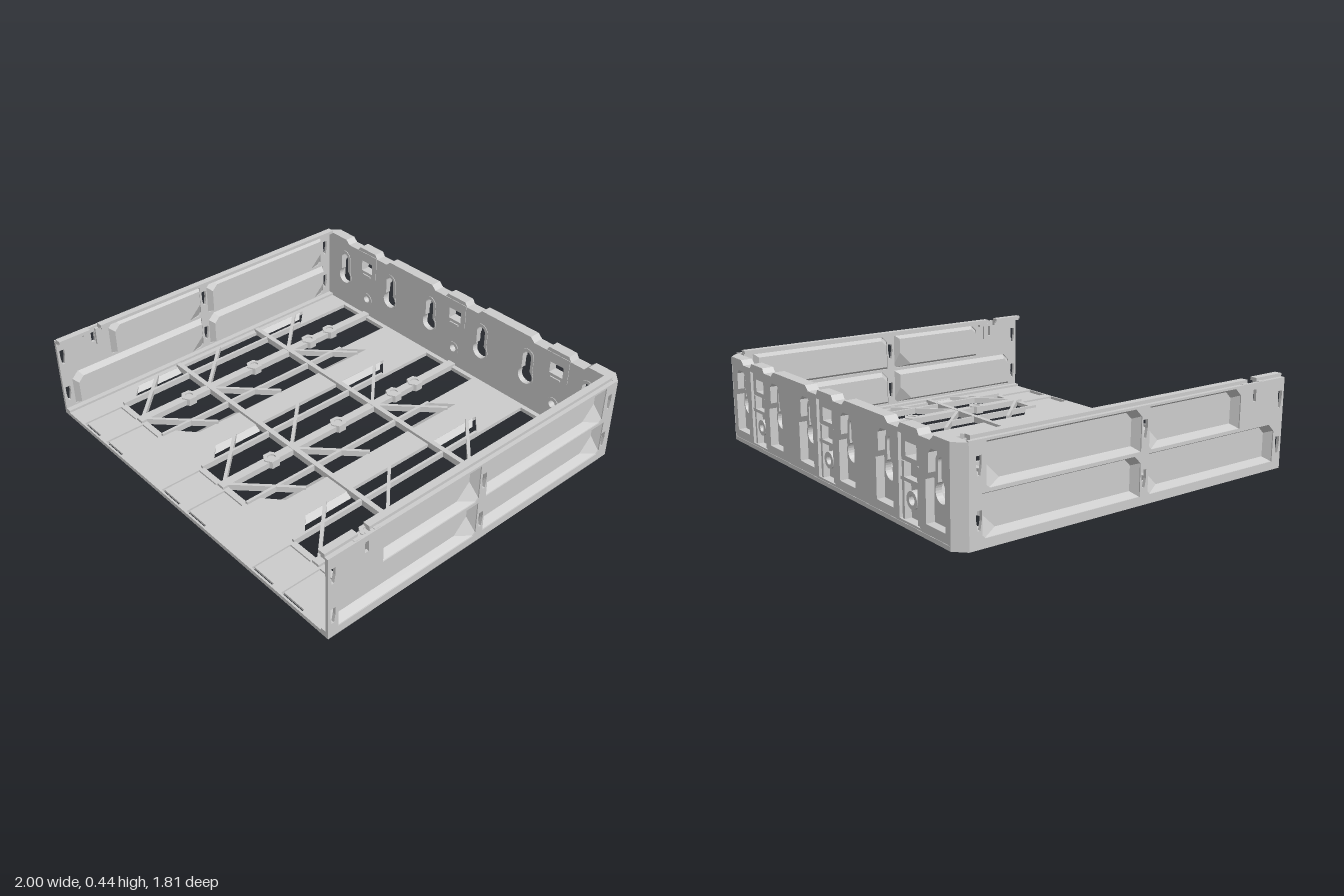
import * as THREE from 'three';

const mat = new THREE.MeshStandardMaterial({ color: 0xcccccc, flatShading: true, side: THREE.DoubleSide });
const BAYS = [-0.667, 0, 0.667];
const KEYS = BAYS.flatMap(c => [c - 0.182, c + 0.182]);

function add(parent, name, geo) {
  const m = new THREE.Mesh(geo, mat);
  m.name = name;
  parent.add(m);
  return m;
}
// Box from min/max limits
function box(parent, name, x0, x1, y0, y1, z0, z1) {
  const g = new THREE.BoxGeometry(x1 - x0, y1 - y0, z1 - z0);
  g.translate((x0 + x1) / 2, (y0 + y1) / 2, (z0 + z1) / 2);
  return add(parent, name, g);
}
const shapeOf = pts => new THREE.Shape(pts.map(p => new THREE.Vector2(...p)));
const rect = (x0, x1, y0, y1) => [[x0, y0], [x1, y0], [x1, y1], [x0, y1]];
function extrude(pts, holes, depth) {
  const s = shapeOf(pts);
  holes.forEach(h => s.holes.push(h.getPoints ? h : shapeOf(h)));
  return new THREE.ExtrudeGeometry(s, { depth, bevelEnabled: false, curveSegments: 10 });
}
// Outline in x,z standing between two heights
const slab = (pts, holes, y0, y1) => extrude(pts, holes, y1 - y0).rotateX(Math.PI / 2).translate(0, y1, 0);

// Keyhole outline: round bottom, narrower slot above
function keyhole(x, y, r, w, top) {
  const a = Math.asin(w / r), p = new THREE.Path();
  p.absarc(x, y, r, Math.PI / 2 + a, Math.PI * 2.5 - a, false);
  p.lineTo(x + w, top - w);
  p.absarc(x, top - w, w, 0, Math.PI, false);
  p.closePath();
  return p;
}
function circle(x, y, r) {
  const p = new THREE.Path();
  p.absarc(x, y, r, 0, Math.PI * 2);
  return p;
}

function buildFloor(root) {
  const floor = new THREE.Group();
  floor.name = 'floor';
  root.add(floor);
  const holes = [];
  for (const c of BAYS) {
    const half = [[0.165, -0.825], [0.165, -0.5], [0.265, -0.6], [0.265, 0.51], [0.165, 0.6], [0.165, 0.65]];
    holes.push([...half.map(([x, z]) => [c + x, z]), ...half.map(([x, z]) => [c - x, z]).reverse()]);
    for (const s of [-1, 1]) holes.push(rect(c + s * 0.0975 - 0.0675, c + s * 0.0975 + 0.0675, 0.68, 0.89));
  }
  add(floor, 'floorPlate', slab(
    [[-1, 0.9], [-1, -0.86], [-0.95, -0.91], [0.95, -0.91], [1, -0.86], [1, 0.9]], holes, 0, 0.02));

  // Ribs crossing all bays
  for (const z of [-0.275, 0.25]) box(floor, 'crossRib', -0.945, 0.945, 0.002, 0.035, z - 0.013, z + 0.013);

  for (const c of BAYS) {
    const bay = new THREE.Group();
    bay.name = 'floorBay';
    bay.position.x = c;
    floor.add(bay);
    box(bay, 'centreRib', -0.022, 0.022, 0.002, 0.033, -0.86, 0.68);
    box(bay, 'rearLedge', -0.165, 0.165, 0, 0.012, -0.86, -0.825);
    for (const s of [-1, 1]) {
      box(bay, 'sideRib', s * 0.17 - 0.007, s * 0.17 + 0.007, 0.002, 0.033, -0.5, 0.66);
      box(bay, 'frontPocketFloor', s * 0.0975 - 0.068, s * 0.0975 + 0.068, 0, 0.011, 0.679, 0.875);
      // Diagonal braces
      for (const z of [-0.28, 0.25, 0.65]) {
        const brace = add(bay, 'diagonalBrace', new THREE.BoxGeometry(0.36, 0.031, 0.016));
        brace.position.set(s * 0.14, 0.0175, z - 0.13);
        brace.rotation.y = s * Math.PI / 4;
      }
      // Sloping lips along the opening
      for (const [z0, z1] of [[-0.58, -0.29], [0.265, 0.51]]) {
        const x0 = s * 0.267, x1 = s * 0.232, e = z0 < 0 ? [0.035, 0] : [0, 0.035];
        const g = new THREE.BufferGeometry();
        g.setAttribute('position', new THREE.Float32BufferAttribute([
          x0, 0.02, z0, x1, 0.001, z0 + e[0], x1, 0.001, z1 + e[1], x0, 0.02, z1], 3));
        g.setIndex(s > 0 ? [0, 1, 2, 0, 2, 3] : [0, 2, 1, 0, 3, 2]);
        g.computeVertexNormals();
        add(bay, 'openingLip', g);
      }
    }
    // Hollow hexagonal bosses
    for (const z of [-0.57, -0.42, -0.04, 0.38]) {
      const hex = [...Array(6)].map((_, i) => [0.042 * Math.cos(i * Math.PI / 3 + Math.PI / 6),
        z + 0.042 * Math.sin(i * Math.PI / 3 + Math.PI / 6)]);
      add(bay, 'screwBoss', slab(hex, [circle(0, z, 0.02)], 0, 0.04));
    }
  }
}

function buildBack(root) {
  const back = new THREE.Group();
  back.name = 'backWall';
  root.add(back);
  // Top edge dips either side of each bay's raised tab
  const top = [];
  for (const c of BAYS) {
    for (const [x, y] of [[-0.175, 0.425], [-0.15, 0.402], [-0.075, 0.402], [-0.06, 0.425],
      [0.06, 0.425], [0.075, 0.402], [0.15, 0.402], [0.175, 0.425]]) top.push([c + x, y]);
  }
  const outline = w => [[w, 0], [w, 0.425], ...top.slice().reverse(), [-w, 0.425], [-w, 0]];

  const inner = [], outer = [];
  for (const x of KEYS) {
    inner.push(keyhole(x, 0.195, 0.044, 0.026, 0.335));
    outer.push([[x - 0.065, 0.06], [x + 0.065, 0.06], [x + 0.065, 0.24], [x + 0.045, 0.27],
      [x + 0.045, 0.35], [x + 0.025, 0.37], [x - 0.025, 0.37], [x - 0.045, 0.35], [x - 0.045, 0.27], [x - 0.065, 0.24]]);
  }
  for (const c of BAYS) {
    inner.push(rect(c - 0.04, c + 0.04, 0.292, 0.352), circle(c, 0.12, 0.02));
    outer.push(rect(c - 0.075, c + 0.075, 0.03, 0.385));
  }
  add(back, 'innerSheet', extrude(outline(0.96), inner, 0.018).translate(0, 0, -0.868));
  add(back, 'outerFrame', extrude(outline(0.95), outer, 0.04).translate(0, 0, -0.908));

  // Raised rims around the keyholes, inside and out
  for (const x of KEYS) {
    const rim = new THREE.Shape(keyhole(x, 0.195, 0.052, 0.042, 0.353).getPoints(10));
    rim.holes.push(keyhole(x, 0.195, 0.044, 0.026, 0.335));
    add(back, 'keyholeRim', new THREE.ExtrudeGeometry(rim, { depth: 0.03, bevelEnabled: false, curveSegments: 10 })
      .translate(0, 0, -0.877));
  }
  for (const c of BAYS) {
    // Window frame, ledges and screw collar inside each channel
    add(back, 'windowFrame', extrude(rect(c - 0.07, c + 0.07, 0.272, 0.405),
      [rect(c - 0.04, c + 0.04, 0.292, 0.352)], 0.05).translate(0, 0, -0.897));
    box(back, 'windowSill', c - 0.03, c + 0.03, 0.268, 0.276, -0.87, -0.84);
    box(back, 'channelBar', c - 0.075, c + 0.075, 0.19, 0.205, -0.9, -0.865);
    for (const s of [-1, 1]) box(back, 'channelPost', c + s * 0.055 - 0.008, c + s * 0.055 + 0.008, 0.03, 0.27, -0.9, -0.865);
    add(back, 'screwCollar', extrude(circle(c, 0.12, 0.038).getPoints(10).slice(0, -1).map(p => [p.x, p.y]),
      [circle(c, 0.12, 0.02)], 0.05).translate(0, 0, -0.897));
  }
}

// Sunken panel: rim at the outer face, smaller floor set inwards
function panelRim(z0, z1, y0, y1, cutFront, cutRear) {
  return [[z0, y0 + cutRear], [z0 + cutRear, y0], [z1, y0], [z1, y1 - cutFront], [z1 - cutFront, y1], [z0, y1]];
}
function panGeometry(rim, base, x0, x1) {
  const v = [], n = rim.length;
  for (let i = 0; i < n; i++) {
    const j = (i + 1) % n;
    const a = [x0, rim[i][1], rim[i][0]], b = [x0, rim[j][1], rim[j][0]];
    const c = [x1, base[j][1], base[j][0]], d = [x1, base[i][1], base[i][0]];
    v.push(...a, ...c, ...b, ...a, ...d, ...c);
    if (i > 0 && i < n - 1) v.push(x1, base[0][1], base[0][0], ...c, ...d);
  }
  const g = new THREE.BufferGeometry();
  g.setAttribute('position', new THREE.Float32BufferAttribute(v, 3));
  g.computeVertexNormals();
  return g;
}

function buildSide(root, name, sign) {
  const side = new THREE.Group();
  side.name = name;
  side.scale.x = sign;
  root.add(side);
  const panels = [[0.055, 0.61, 0.235, 0.42], [-0.78, 0.01, 0.235, 0.42], [0.055, 0.845, 0.04, 0.22], [-0.8, 0.01, 0.04, 0.22]];
  const holes = panels.map(([z0, z1, y0, y1]) => panelRim(z0, z1, y0, y1, 0.035, 0.015));
  // Tapered hook slots
  for (const [z, y] of [[0.875, 0.29], [0.03, 0.29], [-0.815, 0.29], [0.875, 0.075], [0.03, 0.075], [-0.815, 0.075]])
    holes.push([[z - 0.006, y], [z + 0.006, y], [z + 0.013, y + 0.04], [z + 0.013, y + 0.08], [z - 0.013, y + 0.08], [z - 0.013, y + 0.04]]);
  holes.push(rect(0.69, 0.71, 0.345, 0.4));
  add(side, 'sideSheet', extrude(rect(-0.86, 0.9, 0, 0.43), holes, 0.015).rotateY(-Math.PI / 2).translate(1, 0, 0));
  panels.forEach(([z0, z1, y0, y1], i) => add(side, 'sunkenPanel', panGeometry(holes[i],
    panelRim(z0 + 0.02, z1 - 0.02, y0 + 0.018, y1 - 0.02, 0.03, 0.07), 0.995, 0.957)));

  // Top ledge and rail, broken by a notch near the front
  for (const [z0, z1] of [[-0.84, 0.67], [0.73, 0.9]]) {
    box(side, 'topLedge', 0.958, 0.99, 0.42, 0.43, z0, z1);
    box(side, 'topRail', 0.945, 0.98, 0.43, 0.445, z0, z1);
  }
  box(side, 'bottomLedge', 0.957, 0.99, 0.015, 0.032, -0.86, 0.9);
  // Latch clip beside the notch
  for (const z of [0.64, 0.745]) box(side, 'latchClip', 0.965, 0.995, 0.405, 0.432, z - 0.015, z + 0.015);
  box(side, 'latchBar', 0.972, 0.988, 0.33, 0.42, 0.66, 0.688);
  // Chamfered rear corner
  add(side, 'rearCorner', slab([[1, -0.86], [0.95, -0.91], [0.945, -0.89], [0.945, -0.85], [0.985, -0.85], [1, -0.855]], [], 0, 0.425));
}

export function createModel() {
  const root = new THREE.Group();
  root.name = 'storageTray';
  buildFloor(root);
  buildBack(root);
  buildSide(root, 'leftWall', 1);
  buildSide(root, 'rightWall', -1);
  return root;
}
